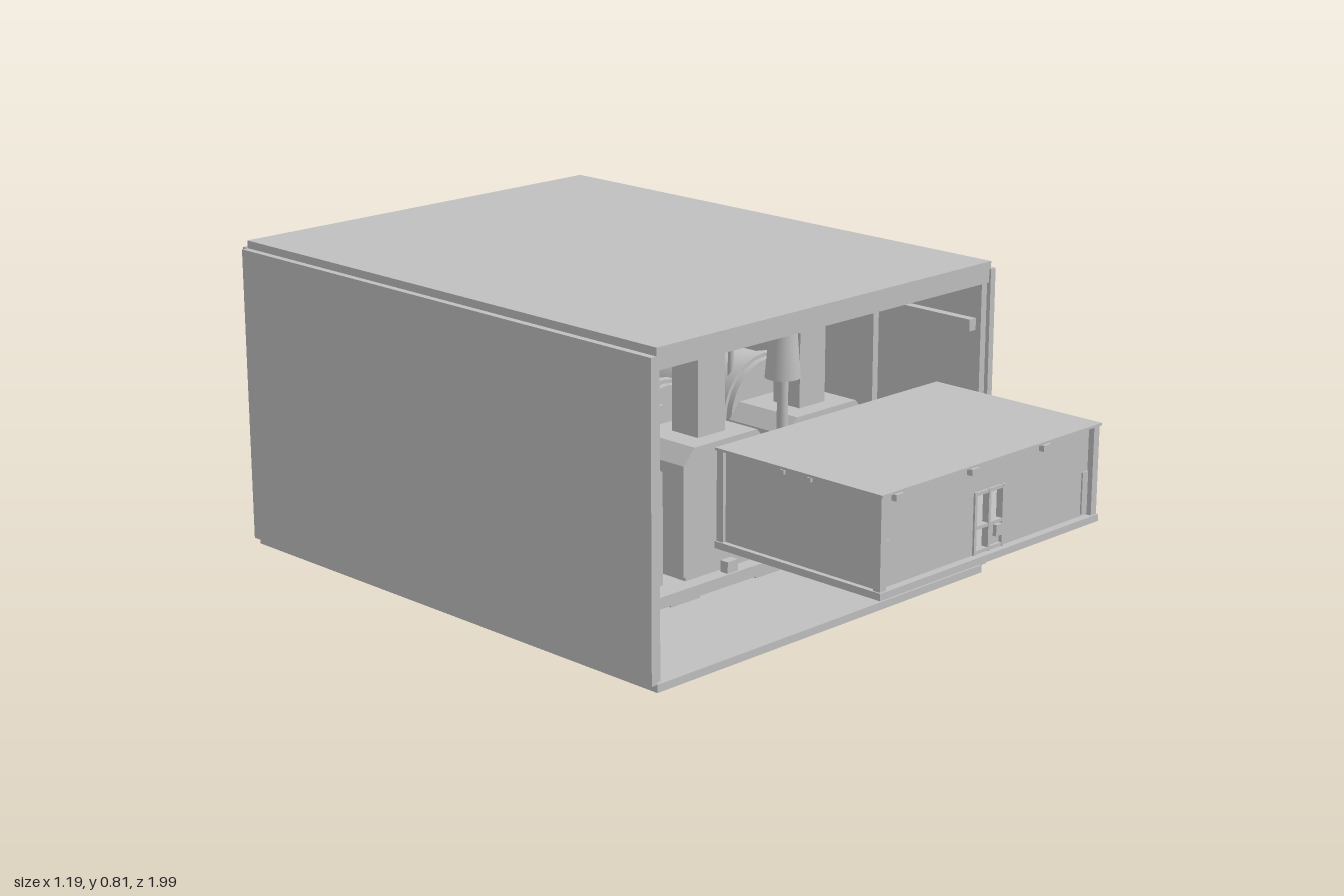
import * as THREE from 'three';

export function createModel() {
  const root = new THREE.Group();
  root.name = 'industrialHall';
  const grey = new THREE.MeshStandardMaterial({ color: 0xc0c0c0 });
  grey.name = 'plainGrey';

  function add(name, geometry, parent = root) {
    const mesh = new THREE.Mesh(geometry, grey);
    mesh.name = name;
    parent.add(mesh);
    return mesh;
  }
  // Box given by its limits on each axis
  function box(name, x0, x1, y0, y1, z0, z1, parent) {
    const mesh = add(name, new THREE.BoxGeometry(x1 - x0, y1 - y0, z1 - z0), parent);
    mesh.position.set((x0 + x1) / 2, (y0 + y1) / 2, (z0 + z1) / 2);
    return mesh;
  }
  // Cylinder along the chosen axis
  function rod(name, axis, rTop, rBottom, length, x, y, z, parent, open = false) {
    const g = new THREE.CylinderGeometry(rTop, rBottom, length, 24, 1, open);
    if (axis === 'x') g.rotateZ(Math.PI / 2);
    if (axis === 'z') g.rotateX(Math.PI / 2);
    const mesh = add(name, g, parent);
    mesh.position.set(x, y, z);
    return mesh;
  }
  function group(name) {
    const g = new THREE.Group();
    g.name = name;
    root.add(g);
    return g;
  }

  // Outer hall: slabs overlap the open corners between the walls
  box('floorSlab', -0.577, 0.577, 0, 0.02, -0.98, 0.495);
  box('roofSlab', -0.577, 0.577, 0.79, 0.81, -0.98, 0.495);
  box('rightWall', -0.595, -0.577, 0.02, 0.79, -0.98, 0.495);
  box('leftWall', 0.577, 0.595, 0.02, 0.79, -0.98, 0.495);
  box('backWall', -0.577, 0.577, 0.02, 0.79, -1, -0.98);
  box('frontHeader', -0.577, 0.577, 0.755, 0.79, 0.475, 0.49);

  // Steel frame along the walls
  const frame = group('hallFrame');
  for (const s of [-1, 1]) {
    for (const z of [-0.96, -0.6, -0.24, 0.12, 0.47]) {
      const x = s * 0.567;
      box('wallColumn', x - 0.01, x + 0.01, 0.02, 0.79, z - 0.014, z + 0.014, frame);
    }
    box('craneRail', s * 0.543 - 0.012, s * 0.543 + 0.012, 0.635, 0.665, -0.97, 0.47, frame);
    box('wallRail', s * 0.56 - 0.01, s * 0.56 + 0.01, 0.3, 0.33, -0.97, 0.3, frame);
  }
  for (const x of [-0.46, -0.275, -0.09, 0.09, 0.275, 0.46]) {
    box('backColumn', x - 0.018, x + 0.018, 0.02, 0.79, -0.98, -0.95, frame);
  }
  for (const z of [-0.6, -0.24, 0.12]) {
    box('roofBeam', -0.577, 0.577, 0.755, 0.79, z - 0.015, z + 0.015, frame);
  }
  for (const y of [0.2, 0.32, 0.415, 0.475]) {
    box('backRail', -0.57, 0.57, y - 0.01, y + 0.01, -0.95, -0.93, frame);
  }
  for (const y of [0.55, 0.59]) rod('servicePipe', 'x', 0.009, 0.009, 1.13, 0, y, -0.5, frame);
  box('craneBeam', -0.545, 0.543, 0.675, 0.715, 0.12, 0.16, frame);

  // Machine platform
  box('platform', -0.525, 0.522, 0.035, 0.065, -0.5, 0.18);
  for (const x of [-0.45, -0.15, 0.15, 0.45]) box('platformFoot', x - 0.05, x + 0.05, 0.02, 0.035, -0.48, 0.16);

  // Three identical machines with chamfered housings and rising ducts
  const outline = new THREE.Shape();
  [[-0.147, 0.08], [0.147, 0.08], [0.147, 0.365], [0.11, 0.405], [-0.11, 0.405], [-0.147, 0.365]]
    .forEach(([x, y], i) => (i ? outline.lineTo(x, y) : outline.moveTo(x, y)));
  for (const x of [-0.365, 0, 0.365]) {
    const m = group('machine');
    m.position.x = x;
    const body = add('housing', new THREE.ExtrudeGeometry(outline, { depth: 0.2, bevelEnabled: false }), m);
    body.position.z = -0.05;
    rod('drum', 'z', 0.14, 0.14, 0.38, 0, 0.36, -0.24, m);
    for (const z of [-0.4, -0.08]) rod('drumBand', 'z', 0.15, 0.15, 0.025, 0, 0.36, z, m);
    box('drumCradle', -0.13, 0.13, 0.065, 0.3, -0.42, -0.05, m);
    box('base', -0.13, 0.13, 0.065, 0.08, -0.05, 0.14, m);
    box('duct', -0.047, 0.047, 0.38, 0.755, 0.01, 0.1, m);
    box('ductFlange', -0.052, 0.052, 0.645, 0.662, 0.005, 0.105, m);
    box('drainFitting', -0.018, 0.018, 0.065, 0.095, 0.15, 0.175, m);
    rod('portGlass', 'z', 0.033, 0.033, 0.02, 0, 0.255, 0.15, m);
    const rim = add('portRim', new THREE.TorusGeometry(0.035, 0.005, 8, 32), m);
    rim.position.set(0, 0.255, 0.16);
  }

  // Hopper, spout and bucket between the machines
  const chute = group('chute');
  box('hopperCap', 0.147, 0.235, 0.645, 0.675, 0.12, 0.2, chute);
  rod('hopperCone', 'y', 0.035, 0.045, 0.12, 0.19, 0.585, 0.16, chute);
  rod('chutePipe', 'y', 0.014, 0.014, 0.5, 0.19, 0.3, 0.16, chute);
  rod('bucket', 'y', 0.058, 0.042, 0.085, 0.19, 0.26, 0.22, chute);

  // Control box with a bent conduit
  box('controlBox', -0.486, -0.444, 0.295, 0.336, 0.19, 0.22);
  const path = new THREE.CurvePath();
  const pts = [[-0.465, 0.33], [-0.465, 0.45], [-0.535, 0.465], [-0.535, 0.65]].map(([x, y]) => new THREE.Vector3(x, y, 0.205));
  for (let i = 0; i < 3; i++) path.add(new THREE.LineCurve3(pts[i], pts[i + 1]));
  add('conduit', new THREE.TubeGeometry(path, 30, 0.006, 8));
  for (const x of [-0.18, 0.275]) rod('risingPipe', 'y', 0.008, 0.008, 0.7, x, 0.4, -0.1);

  // Projecting control room
  const room = group('controlRoom');
  box('roomFloor', -0.388, 0.386, 0.3, 0.317, 0.49, 0.99, room);
  box('roomRoof', -0.388, 0.386, 0.534, 0.54, 0.49, 0.99, room);
  for (const s of [-1, 1]) {
    box('roomSide', s * 0.37 - 0.005, s * 0.37 + 0.005, 0.317, 0.534, 0.5, 0.97, room);
    for (const z of [0.502, 0.975]) {
      box('cornerPost', s * 0.374 - 0.01, s * 0.374 + 0.01, 0.317, 0.534, z - 0.01, z + 0.01, room);
    }
    for (const z of [0.69, 0.77]) box('sideLamp', s * 0.376 - 0.006, s * 0.376 + 0.006, 0.52, 0.53, z - 0.006, z + 0.006, room);
    box('sidePanel', s * 0.352 - 0.01, s * 0.352 + 0.01, 0.322, 0.425, 0.968, 0.974, room);
  }
  box('roomBack', -0.37, 0.37, 0.317, 0.534, 0.497, 0.507, room);
  // Front wall with a door opening
  box('frontWall', -0.37, -0.052, 0.317, 0.534, 0.96, 0.97, room);
  box('frontWall', 0.052, 0.37, 0.317, 0.534, 0.96, 0.97, room);
  box('frontLintel', -0.052, 0.052, 0.465, 0.534, 0.96, 0.97, room);
  for (const x of [-0.049, 0, 0.049]) box('doorStile', x - 0.004, x + 0.004, 0.317, 0.465, 0.957, 0.975, room);
  for (const y of [0.322, 0.38, 0.46]) box('doorRail', -0.052, 0.052, y - 0.004, y + 0.004, 0.957, 0.974, room);
  box('doorPanel', 0.004, 0.045, 0.322, 0.376, 0.96, 0.966, room);
  box('doorLock', 0.024, 0.046, 0.345, 0.372, 0.966, 0.976, room);
  for (const x of [-0.322, -0.066, 0.19]) box('frontLamp', x - 0.013, x + 0.013, 0.513, 0.528, 0.97, 0.985, room);
  return root;
}
